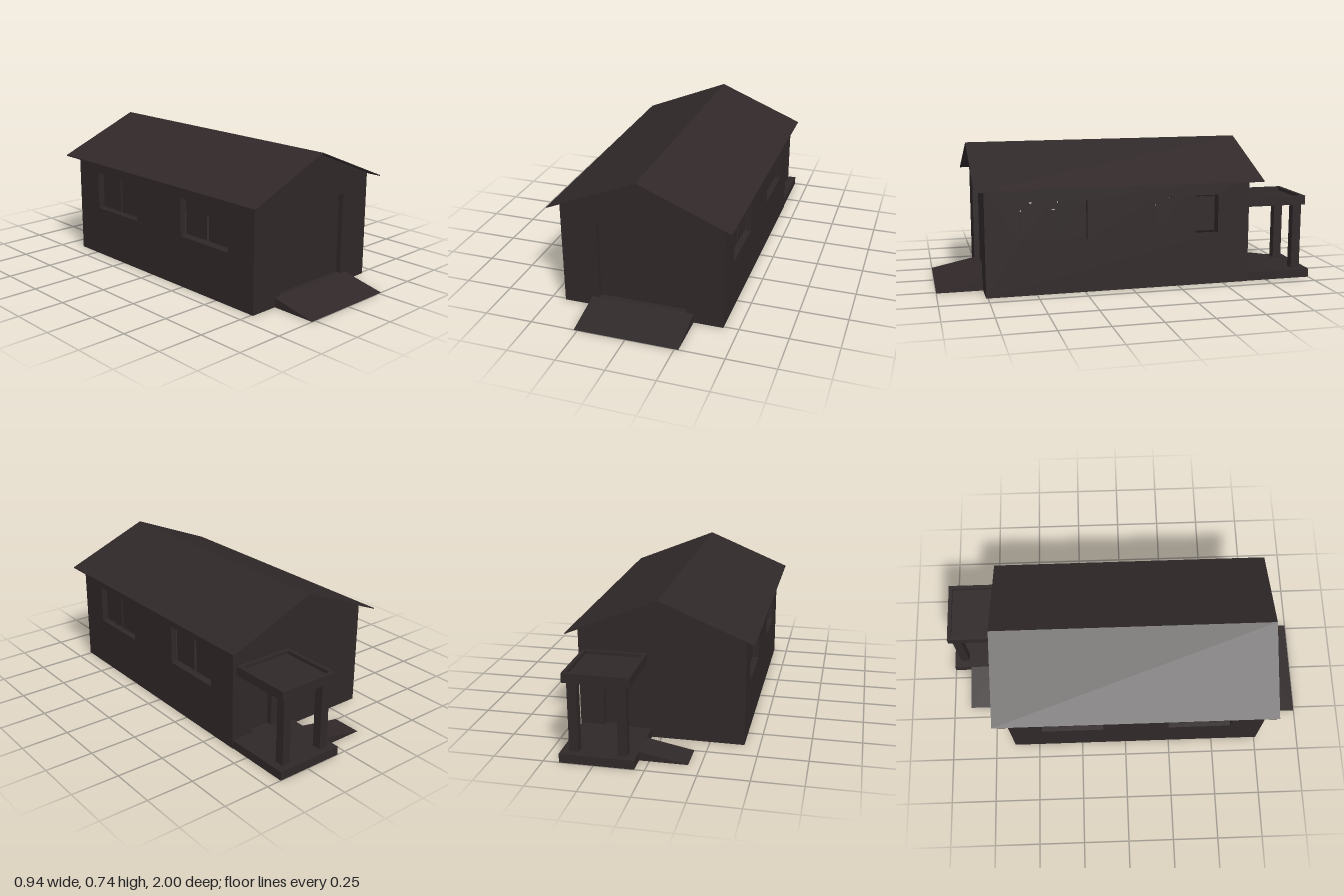
import * as THREE from 'three';

export function createModel() {
  const house = new THREE.Group();
  house.name = 'house';
  const paint = new THREE.MeshStandardMaterial({ color: 0x302829, side: THREE.DoubleSide });
  paint.name = 'dark brown';

  const W = 0.423, FRONT = 0.76, BACK = -0.64, EAVE = 0.565, RIDGE = 0.738, FLOOR = 0.046;
  const DEPTH = 0.03; // depth of door and window recesses

  function add(parent, name, geometry, x = 0, y = 0, z = 0) {
    const mesh = new THREE.Mesh(geometry, paint);
    mesh.name = name;
    mesh.position.set(x, y, z);
    parent.add(mesh);
    return mesh;
  }
  const box = (name, x0, x1, y0, y1, z0, z1) =>
    add(house, name, new THREE.BoxGeometry(x1 - x0, y1 - y0, z1 - z0), (x0 + x1) / 2, (y0 + y1) / 2, (z0 + z1) / 2);
  const outline = (pts) => pts.map(([x, y]) => new THREE.Vector2(x, y));
  const prism = (pts, depth) =>
    new THREE.ExtrudeGeometry(new THREE.Shape(outline(pts)), { depth, bevelEnabled: false });

  // Wall sheet facing local +z, with recessed openings filled by panels
  function wall(name, pts, openings, x, z, turn) {
    const group = new THREE.Group();
    group.name = name;
    group.position.set(x, 0, z);
    group.rotation.y = turn;
    house.add(group);
    const shape = new THREE.Shape(outline(pts));
    for (const o of openings) {
      const { cx, y0, y1, w } = o, h = y1 - y0, cy = (y0 + y1) / 2;
      const l = cx - w / 2, r = cx + w / 2;
      shape.holes.push(new THREE.Path(outline([[l, y0], [l, y1], [r, y1], [r, y0]])));
      for (const s of [-1, 1]) {
        add(group, o.name + 'Jamb', new THREE.PlaneGeometry(DEPTH, h), cx + s * w / 2, cy, -DEPTH / 2)
          .rotation.y = -s * Math.PI / 2;
        add(group, o.name + 'Reveal', new THREE.PlaneGeometry(w, DEPTH), cx, cy + s * h / 2, -DEPTH / 2)
          .rotation.x = s * Math.PI / 2;
      }
      if (o.panes) {
        for (const s of [-1, 1])
          add(group, 'windowPane', new THREE.PlaneGeometry(w / 2 - 0.0175, h - 0.02), cx + s * w / 4 - s * 0.00125, cy, -DEPTH);
      } else {
        add(group, o.name + 'Panel', new THREE.PlaneGeometry(w, h), cx, cy, -DEPTH);
      }
    }
    add(group, name + 'Sheet', new THREE.ShapeGeometry(shape));
  }

  // Gable walls with the wide front door and the small back door
  const gable = [[-W, 0], [W, 0], [W, EAVE], [0, RIDGE], [-W, EAVE]];
  wall('frontWall', gable, [{ name: 'garageDoor', cx: 0, y0: 0.05, y1: 0.485, w: 0.465 }], 0, FRONT, 0);
  wall('backWall', gable, [{ name: 'backDoor', cx: -0.235, y0: FLOOR, y1: 0.31, w: 0.125 }], 0, BACK, Math.PI);

  // Long side walls, each with two double windows
  for (const s of [1, -1]) {
    const a = -s * FRONT, b = -s * BACK;
    const windows = [0.41, -0.295].map((z) => ({ name: 'window', cx: -s * z, y0: 0.275, y1: 0.48, w: 0.345, panes: true }));
    wall(s > 0 ? 'leftWall' : 'rightWall', [[a, 0], [b, 0], [b, EAVE], [a, EAVE]], windows, s * W, 0, s * Math.PI / 2);
  }

  // Floor raised above the open underside
  add(house, 'floor', new THREE.PlaneGeometry(2 * W, FRONT - BACK), 0, FLOOR - 0.003, (FRONT + BACK) / 2).rotation.x = -Math.PI / 2;

  // Thin pitched roof
  add(house, 'roof', prism([[-0.47, 0.546], [0, 0.739], [0.47, 0.546], [0.47, 0.551], [0, 0.744], [-0.47, 0.551]], 1.515), 0, 0, -0.705);

  // Front ramp, sloping down towards +z
  add(house, 'frontRamp', prism([[-1, 0], [-FRONT, 0], [-FRONT, 0.05]], 0.54), -0.27, 0, 0).rotation.y = Math.PI / 2;

  // Porch deck with skirts and an open underside
  const px0 = 0.05, px1 = 0.42;
  add(house, 'porchDeck', new THREE.PlaneGeometry(px1 - px0, 0.36), (px0 + px1) / 2, FLOOR, -0.82).rotation.x = -Math.PI / 2;
  add(house, 'porchBackSkirt', new THREE.PlaneGeometry(px1 - px0, FLOOR), (px0 + px1) / 2, FLOOR / 2, -1).rotation.y = Math.PI;
  add(house, 'porchLeftSkirt', new THREE.PlaneGeometry(0.36, FLOOR), px1, FLOOR / 2, -0.82).rotation.y = Math.PI / 2;
  add(house, 'porchRightSkirt', new THREE.PlaneGeometry(0.36, FLOOR), px0, FLOOR / 2, -0.82).rotation.y = -Math.PI / 2;

  // Side ramp from the porch towards -x
  add(house, 'porchRamp', prism([[-0.19, 0], [px0, 0], [px0, FLOOR]], 0.158), 0, 0, -0.904);

  // Porch posts
  for (const x of [0.092, 0.333]) box('porchPost', x, x + 0.046, FLOOR, 0.41, -0.963, -0.915);

  // Flat porch roof with a raised rim
  const rx0 = 0.07, rx1 = 0.4, rz0 = -0.975, rz1 = BACK, rim = 0.02;
  box('porchRoof', rx0 + rim, rx1 - rim, 0.402, 0.432, rz0 + rim, rz1 - rim);
  for (const x of [rx0, rx1 - rim]) box('porchRoofSideRim', x, x + rim, 0.402, 0.45, rz0, rz1);
  for (const z of [rz0, rz1 - rim]) box('porchRoofEndRim', rx0 + rim, rx1 - rim, 0.402, 0.45, z, z + rim);

  return house;
}
